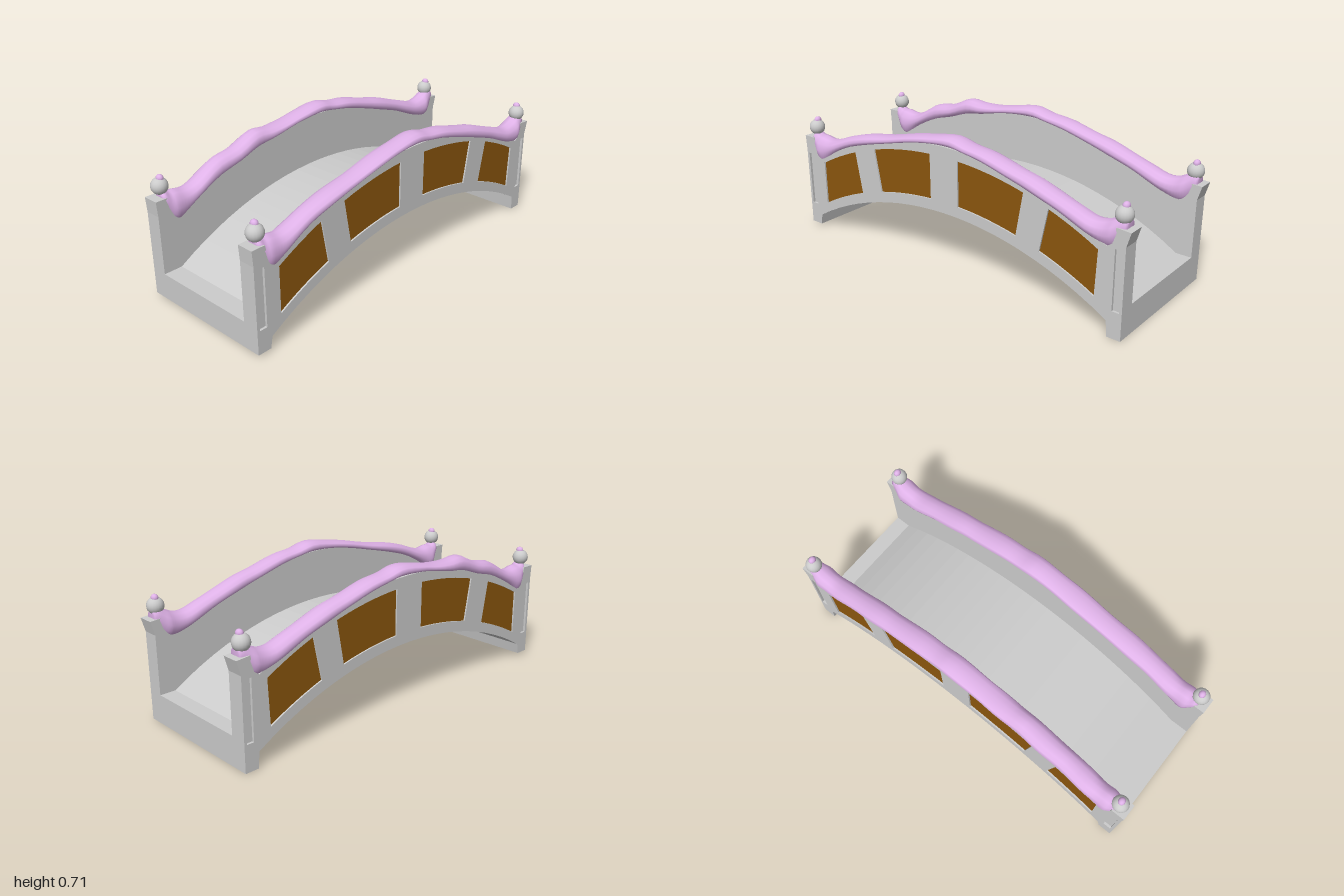
import * as THREE from 'three';

const stone = new THREE.MeshStandardMaterial({ color: 0xcccccc });
const wood = new THREE.MeshStandardMaterial({ color: 0x8b560e });
const pink = new THREE.MeshStandardMaterial({ color: 0xdfb2e8 });

// Circular arc with its crown at x = 0
const arc = (x, crown, radius) => crown - radius + Math.sqrt(radius * radius - x * x);
const arch = (x) => arc(x, 0.325, 1.78);
const deckTop = (x) => arc(x, 0.405, 1.7);

// Points along y = f(x) from x0 to x1
function along(f, x0, x1, n) {
  return Array.from({ length: n + 1 }, (_, i) => {
    const x = x0 + ((x1 - x0) * i) / n;
    return new THREE.Vector2(x, f(x));
  });
}
const points = (list) => list.map(([x, y]) => new THREE.Vector2(x, y));

// Feet and underside shared by the deck and the side walls, left to right
const underside = () => [
  ...points([[-0.995, 0.015], [-0.925, 0.015]]),
  ...along(arch, -0.915, 0.905, 24),
  ...points([[0.912, 0], [0.98, 0]]),
];

function addMesh(parent, name, geometry, material, z = 0) {
  const mesh = new THREE.Mesh(geometry, material);
  mesh.name = name;
  mesh.position.z = z;
  parent.add(mesh);
  return mesh;
}
const extrude = (shape, depth) =>
  new THREE.ExtrudeGeometry(shape, { depth, bevelEnabled: false });

// Side wall outline: arched parapet between two flared end posts
const wallOutline = () => [
  ...underside(),
  ...points([[0.98, 0.44], [1, 0.51], [0.93, 0.515], [0.915, 0.44]]),
  ...along((x) => arch(x) + 0.335, 0.89, -0.89, 24),
  ...points([[-0.915, 0.44], [-0.93, 0.515], [-1, 0.515], [-0.995, 0.44]]),
];

// Panel that follows the arch, with slanted ends
function panelOutline(bottomA, bottomB, topA, topB) {
  return [
    ...along((x) => arch(x) + 0.055, bottomA, bottomB, 6),
    ...along((x) => arch(x) + 0.285, topB, topA, 6),
  ];
}
const panels = [
  [-0.86, -0.57, -0.86, -0.61],
  [-0.43, -0.09, -0.47, -0.09],
  [0.08, 0.42, 0.08, 0.46],
  [0.55, 0.84, 0.595, 0.85],
];

// Draped rail: rings through (x, top, bottom) stations
function railGeometry(stations) {
  const curve = new THREE.CatmullRomCurve3(stations.map((s) => new THREE.Vector3(...s)));
  const rings = curve.getPoints(72);
  const sides = 12;
  const position = [];
  const index = [];
  rings.forEach((p, i) => {
    const end = Math.min(i, rings.length - 1 - i);
    const width = 0.057 * Math.min(1, 0.5 + end * 0.07) + 0.0015 * Math.sin(i * 0.9);
    const mid = (p.y + p.z) / 2;
    const half = (p.y - p.z) / 2;
    for (let j = 0; j < sides; j++) {
      const a = (j / sides) * Math.PI * 2;
      position.push(p.x, mid + half * Math.cos(a), width * Math.sin(a));
      if (i === rings.length - 1) continue;
      const k = i * sides + j;
      const n = i * sides + ((j + 1) % sides);
      index.push(k, n, k + sides, n, n + sides, k + sides);
    }
  });
  // End caps
  const last = (rings.length - 1) * sides;
  for (let j = 1; j < sides - 1; j++) {
    index.push(0, j + 1, j, last, last + j, last + j + 1);
  }
  const geometry = new THREE.BufferGeometry();
  geometry.setAttribute('position', new THREE.Float32BufferAttribute(position, 3));
  geometry.setIndex(index);
  geometry.computeVertexNormals();
  return geometry;
}

const railLeftEnd = [
  [-0.955, 0.53, 0.49], [-0.94, 0.545, 0.455], [-0.91, 0.53, 0.395], [-0.88, 0.53, 0.375],
  [-0.83, 0.52, 0.405], [-0.77, 0.53, 0.45],
];
const railRightHalf = [
  [-0.1, 0.69, 0.648], [0.04, 0.711, 0.654], [0.13, 0.69, 0.643], [0.24, 0.678, 0.622],
  [0.4, 0.638, 0.575], [0.5, 0.616, 0.543], [0.62, 0.575, 0.505], [0.72, 0.542, 0.462],
  [0.81, 0.515, 0.425], [0.87, 0.525, 0.405], [0.91, 0.545, 0.41], [0.945, 0.565, 0.44],
  [0.97, 0.55, 0.48],
];
const frontRail = [
  ...railLeftEnd,
  [-0.66, 0.57, 0.505], [-0.54, 0.602, 0.545], [-0.38, 0.63, 0.588], [-0.22, 0.668, 0.628],
  ...railRightHalf,
];
const backRail = [
  ...railLeftEnd,
  [-0.64, 0.602, 0.51], [-0.52, 0.625, 0.548], [-0.4, 0.676, 0.586], [-0.31, 0.668, 0.605],
  [-0.2, 0.672, 0.632],
  ...railRightHalf,
];

function sideWall(front) {
  const dir = front ? 1 : -1;
  const side = new THREE.Group();
  side.name = front ? 'frontSide' : 'backSide';

  // Solid core plus a pierced outer face that leaves the panels recessed
  addMesh(side, 'wall', extrude(new THREE.Shape(wallOutline()), 0.071), stone, front ? 0.279 : -0.35);
  const face = new THREE.Shape(wallOutline());
  for (const p of panels) face.holes.push(new THREE.Path(panelOutline(...p)));
  for (const [a, b] of [[-0.98, -0.94], [0.93, 0.966]]) {
    face.holes.push(new THREE.Path(points([[a, 0.13], [b, 0.13], [b, 0.42], [a, 0.42]])));
  }
  addMesh(side, 'wallFace', extrude(face, 0.012), stone, front ? 0.35 : -0.362);

  // Wooden panels
  for (const p of panels) {
    const geometry = extrude(new THREE.Shape(panelOutline(...p)), 0.004);
    addMesh(side, 'panel', geometry, wood, front ? 0.35 : -0.354);
  }

  addMesh(side, 'rail', railGeometry(front ? frontRail : backRail), pink, dir * 0.317);

  // Post balls with a small dollop on top
  for (const x of [-0.945, 0.943]) {
    const ball = addMesh(side, 'postBall', new THREE.SphereGeometry(0.041, 18, 12), stone, dir * 0.322);
    ball.position.set(x, 0.565, dir * 0.322);
    const dollop = addMesh(side, 'dollop', new THREE.SphereGeometry(0.02, 12, 8), pink);
    dollop.position.set(x + 0.003, 0.603, dir * 0.318);
    dollop.scale.set(0.85, 0.9, 1);
  }
  return side;
}

export function createModel() {
  const bridge = new THREE.Group();
  bridge.name = 'bridge';

  // Arched walkway with level landings
  const deck = new THREE.Shape([
    ...underside(),
    new THREE.Vector2(0.98, 0.147),
    ...along(deckTop, 0.9, -0.9, 24),
    new THREE.Vector2(-0.995, 0.147),
  ]);
  addMesh(bridge, 'deck', extrude(deck, 0.558), stone, -0.279);

  bridge.add(sideWall(true), sideWall(false));
  return bridge;
}
